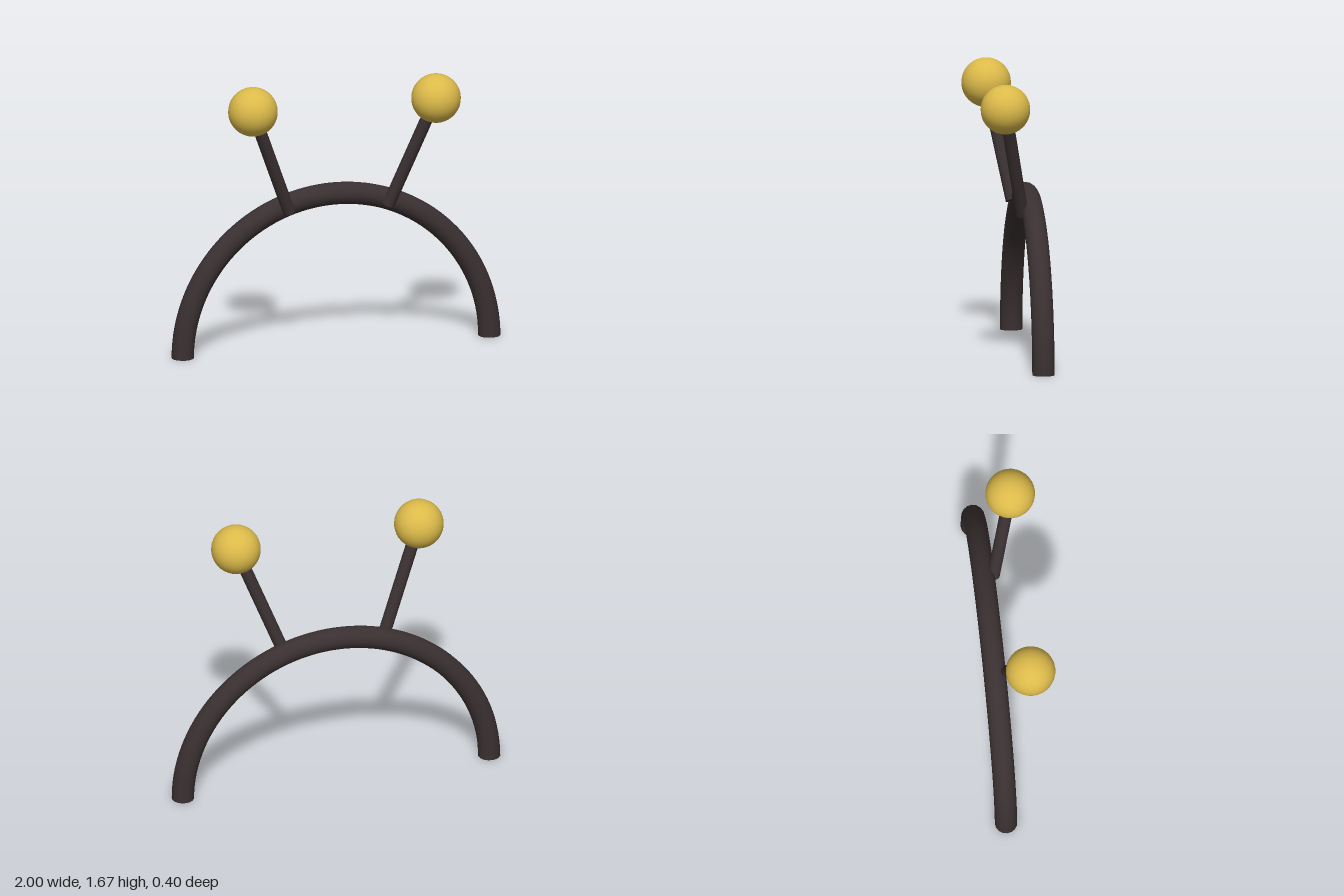
import * as THREE from 'three';

const BAND_R = 0.934, TUBE_R = 0.066, BAND_Z = -0.133;

export function createModel() {
  const model = new THREE.Group();
  model.name = 'antennaHeadband';
  const dark = new THREE.MeshStandardMaterial({ color: 0x3a3031 });
  dark.name = 'darkBrown';
  const gold = new THREE.MeshStandardMaterial({ color: 0xdcba4a });
  gold.name = 'gold';

  const add = (name, geometry, material, x, y, z) => {
    const mesh = new THREE.Mesh(geometry, material);
    mesh.name = name;
    mesh.position.set(x, y, z);
    model.add(mesh);
    return mesh;
  };

  // half-ring band
  add('band', new THREE.TorusGeometry(BAND_R, TUBE_R, 16, 64, Math.PI), dark, 0, 0, BAND_Z);

  for (const [side, s] of [['left', 1], ['right', -1]]) {
    // flat cap closing the band's end
    const cap = add(side + 'BandEnd', new THREE.CircleGeometry(TUBE_R, 16), dark, s * BAND_R, 0, BAND_Z);
    cap.rotation.x = Math.PI / 2;

    // stalk leaning outward and forward into the ball
    const foot = new THREE.Vector3(s * 0.302, 0.858, -0.073);
    const tip = new THREE.Vector3(s * 0.558, 1.523, 0.053);
    const dir = tip.clone().sub(foot);
    const mid = foot.clone().add(tip).multiplyScalar(0.5);
    const stalk = add(side + 'Stalk', new THREE.CylinderGeometry(0.037, 0.037, dir.length(), 16),
      dark, mid.x, mid.y, mid.z);
    stalk.quaternion.setFromUnitVectors(new THREE.Vector3(0, 1, 0), dir.normalize());

    // ball on the tip
    add(side + 'Ball', new THREE.SphereGeometry(0.146, 32, 24), gold, tip.x, tip.y, tip.z);
  }
  return model;
}
